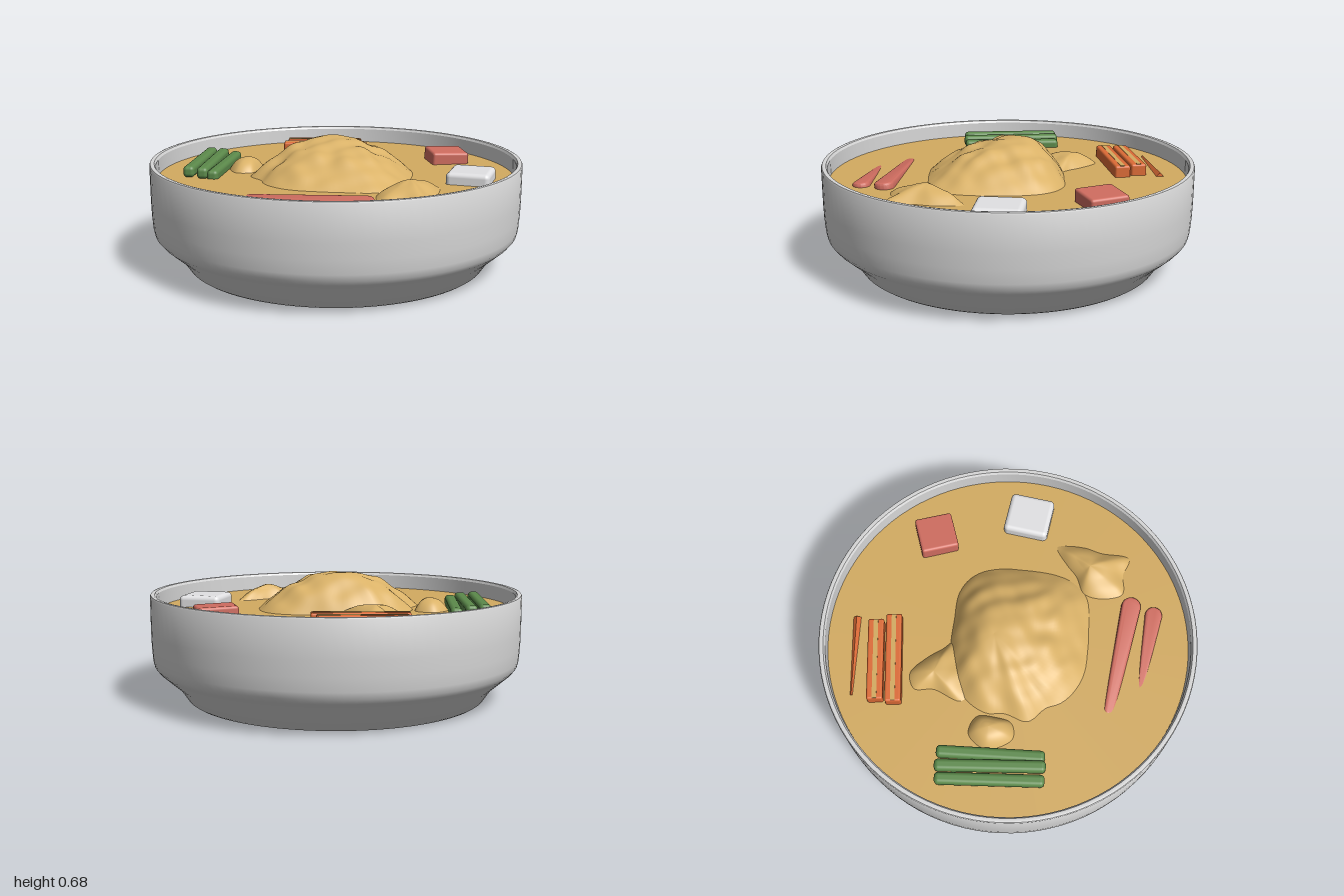
import * as THREE from 'three';
import { toCreasedNormals } from 'three/addons/utils/BufferGeometryUtils.js';
import { RoundedBoxGeometry } from 'three/addons/geometries/RoundedBoxGeometry.js';

const SOUP_Y = 0.48;

const material = (name, color) => {
  const m = new THREE.MeshStandardMaterial({ color });
  m.name = name;
  return m;
};

// Lumpy heap: rings running from a peak out to a closed outline (anticlockwise from above)
function heap(outline, peak, height, power, bump) {
  const curve = new THREE.CatmullRomCurve3(
    outline.map(([x, z]) => new THREE.Vector3(x, 0, z)), true, 'centripetal');
  const segs = 96, rings = 32, pos = [], index = [];
  const rim = curve.getSpacedPoints(segs);
  for (let r = 0; r <= rings; r++) {
    const t = r / rings;
    for (let s = 0; s < segs; s++) {
      const x = peak[0] + (rim[s].x - peak[0]) * t;
      const z = peak[1] + (rim[s].z - peak[1]) * t;
      const noise = Math.sin(x * 21 + 1.3 * Math.sin(z * 13)) * Math.sin(z * 23 + 1.1 * Math.sin(x * 15) + 1)
        + 0.5 * Math.sin(x * 37 + z * 19) * Math.sin(z * 34 - x * 11);
      const y = height * (1 - t ** power) + bump * noise * Math.min(1, t * 2.5) * (1 - t ** 6);
      pos.push(x, SOUP_Y - 0.008 + y, z);
    }
  }
  for (let r = 0; r < rings; r++) {
    for (let s = 0; s < segs; s++) {
      const n = (s + 1) % segs, a = r * segs + s, b = r * segs + n;
      const c = a + segs, d = b + segs;
      index.push(a, c, d);
      if (r > 0) index.push(a, d, b);
    }
  }
  const g = new THREE.BufferGeometry();
  g.setAttribute('position', new THREE.Float32BufferAttribute(pos, 3));
  g.setIndex(index);
  g.computeVertexNormals();
  return g;
}

// Flat slice with a wide rounded end at +x and a narrow end at -x
function sliceGeometry(length, narrow, wide) {
  const h = length / 2, s = new THREE.Shape();
  s.moveTo(-h + narrow, -narrow);
  s.lineTo(h - wide, -wide);
  s.absarc(h - wide, 0, wide, -Math.PI / 2, Math.PI / 2, false);
  s.lineTo(-h + narrow, narrow);
  s.absarc(-h + narrow, 0, narrow, Math.PI / 2, Math.PI * 1.5, false);
  const g = new THREE.ExtrudeGeometry(s, {
    depth: 0.03, bevelSize: 0.012, bevelOffset: -0.012, bevelThickness: 0.012, bevelSegments: 3, curveSegments: 12,
  });
  g.rotateX(-Math.PI / 2).translate(0, -0.027, 0);
  return toCreasedNormals(g, 0.7);
}

export function createModel() {
  const model = new THREE.Group();
  model.name = 'soupBowl';
  const ceramic = material('ceramic', 0xd6d6d6);
  const broth = material('broth', 0xd3ab61);
  const mash = material('mash', 0xdab268);
  const green = material('green', 0x5c8a4b);
  const orange = material('orange', 0xdd6b36);
  const pink = material('pink', 0xd06d60);
  const white = material('white', 0xe2e2e4);

  const add = (name, geometry, mat, p = [0, 0, 0], r = [0, 0, 0], parent = model) => {
    const mesh = new THREE.Mesh(geometry, mat);
    mesh.name = name;
    mesh.position.set(...p);
    mesh.rotation.set(r[0], r[1], r[2], 'YXZ');
    parent.add(mesh);
    return mesh;
  };

  // Bowl: flat base, slanted foot, upright wall, thin rim and inner wall
  const profile = [
    [0, 0], [0.8, 0], [0.815, 0.01], [0.862, 0.08], [0.965, 0.17], [0.985, 0.195], [0.993, 0.23],
    [0.998, 0.3], [1, 0.38], [1, 0.565], [0.996, 0.573], [0.988, 0.575], [0.975, 0.573], [0.967, 0.56], [0.965, 0.45],
  ].map(([x, y]) => new THREE.Vector2(x, y));
  add('bowl', toCreasedNormals(new THREE.LatheGeometry(profile, 96), 0.5), ceramic);

  // Broth surface
  add('broth', new THREE.CircleGeometry(0.968, 96), broth, [0, SOUP_Y, 0], [-Math.PI / 2, 0, 0]);

  // Central mound and the lumps around it
  add('mound', heap([
    [0.42, 0.1], [0.42, -0.1], [0.37, -0.21], [0.27, -0.28], [0.1, -0.3], [-0.08, -0.31], [-0.25, -0.28],
    [-0.36, -0.2], [-0.42, -0.1], [-0.42, 0], [-0.46, 0.12], [-0.38, 0.22], [-0.35, 0.3], [-0.21, 0.41],
    [0, 0.44], [0.26, 0.43], [0.35, 0.36], [0.4, 0.25],
  ], [-0.04, -0.07], 0.207, 2, 0.011), mash);
  add('backLump', heap([
    [-0.21, -0.52], [-0.3, -0.49], [-0.3, -0.38], [-0.36, -0.22], [-0.2, -0.15], [0, -0.26], [-0.06, -0.35], [-0.12, -0.44],
  ], [-0.21, -0.38], 0.075, 1.8, 0.004), mash);
  add('leftLump', heap([
    [-0.43, -0.15], [-0.53, -0.19], [-0.61, -0.09], [-0.55, 0.05], [-0.46, 0.04], [-0.43, -0.05],
  ], [-0.5, -0.08], 0.075, 2.5, 0.004), mash);
  add('frontLump', heap([
    [0.46, 0.3], [0.38, 0.36], [0.28, 0.4], [0.25, 0.5], [0.28, 0.62], [0.4, 0.63], [0.51, 0.66], [0.54, 0.5], [0.57, 0.4], [0.57, 0.24],
  ], [0.42, 0.43], 0.085, 1.7, 0.006), mash);

  // Green beans
  [[-0.772, 0.515, 0.56, 0.01], [-0.7, 0.51, 0.57, 0.02], [-0.635, 0.495, 0.56, -0.02]].forEach(([x, y, len, turn]) => {
    const bean = new RoundedBoxGeometry(0.062, 0.062, len, 5, 0.022);
    add('greenBean', bean, green, [x, y, -0.065], [0, turn, 0]);
  });

  // Carrot sticks with a thin band of broth along the top
  [[-0.14, -0.6, 0.49], [-0.152, -0.695, 0.45]].forEach(([x, z, len]) => {
    const stick = new THREE.Group();
    stick.name = 'carrotStick';
    stick.position.set(x, 0.5, z);
    stick.rotation.y = 0.06;
    model.add(stick);
    add('carrotBody', new RoundedBoxGeometry(len, 0.085, 0.085, 3, 0.012), orange, [0, 0, 0], [0, 0, 0], stick);
    add('carrotBand', new THREE.BoxGeometry(len - 0.01, 0.004, 0.024), broth, [0, 0.0425, 0], [0, 0, 0], stick);
  });
  // Sunken carrot, one edge showing
  add('sunkenCarrot', new THREE.BoxGeometry(0.44, 0.06, 0.06), orange, [-0.12, 0.451, -0.815], [0.75, 0.05, 0.045]);

  // Pink and white cubes
  add('pinkCube', new RoundedBoxGeometry(0.21, 0.14, 0.205, 4, 0.015), pink, [0.594, 0.478, -0.42], [0.03, 0.28, -0.03]);
  add('whiteCube', new RoundedBoxGeometry(0.23, 0.14, 0.245, 4, 0.025), white, [0.73, 0.472, 0.09], [0, -0.19, 0]);

  // Pink slices, dipping into the broth at their narrow ends
  add('pinkSlice', sliceGeometry(0.67, 0.03, 0.052), pink, [-0.065, 0.482, 0.605], [0.1, -0.19, 0.05]);
  add('pinkSlice', sliceGeometry(0.55, 0.012, 0.046), pink, [-0.055, 0.474, 0.742], [0.1, -0.17, 0.05]);

  return model;
}
